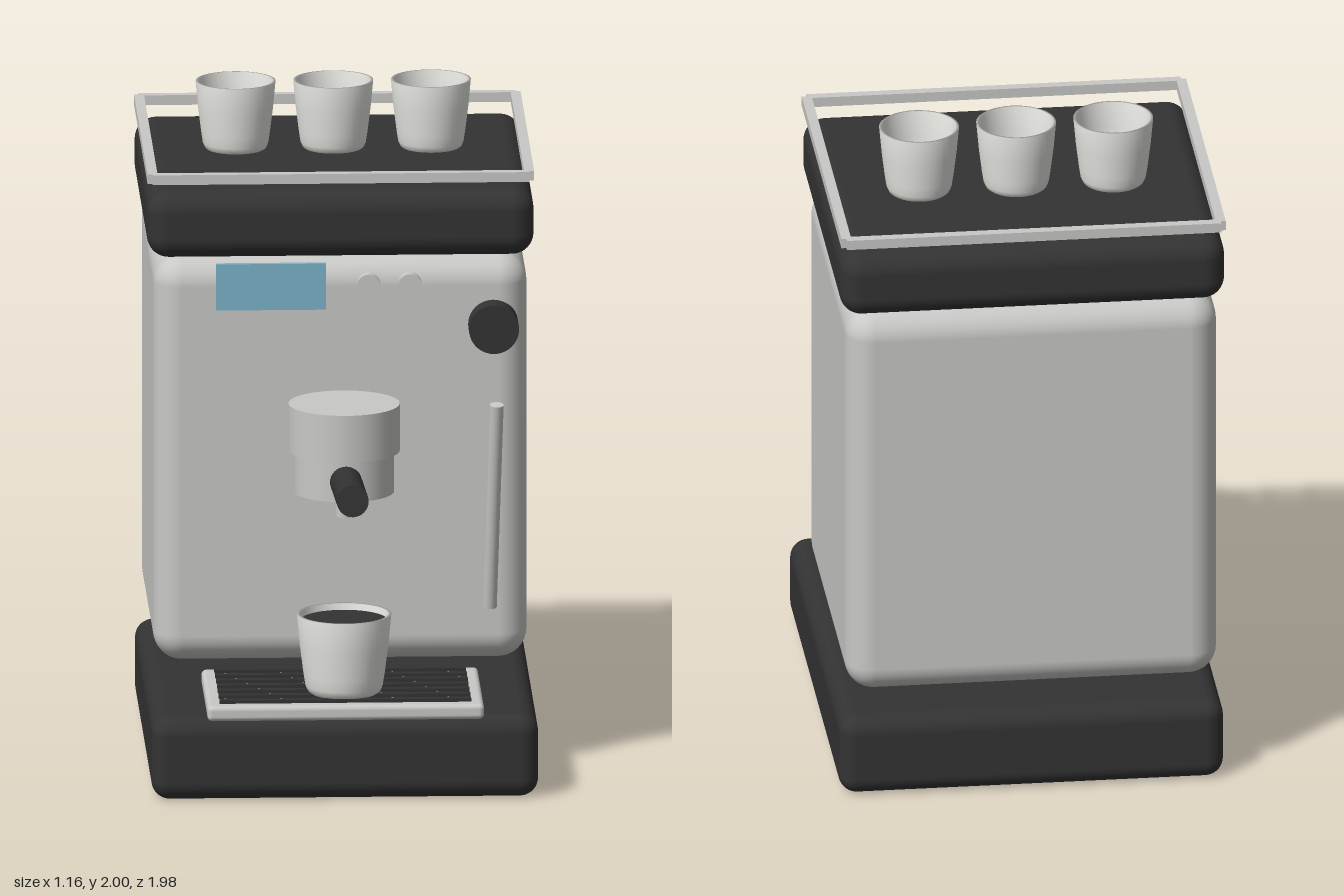
import * as THREE from 'three';
import { RoundedBoxGeometry } from 'three/addons/geometries/RoundedBoxGeometry.js';

export function createModel() {
  const model = new THREE.Group();
  model.name = 'espressoMachine';

  const material = (name, color, extra = {}) => {
    const m = new THREE.MeshStandardMaterial({ color, ...extra });
    m.name = name;
    return m;
  };
  const steel = material('steel', 0xc8c8c6);
  const black = material('blackPlastic', 0x333333);
  const china = material('china', 0xe6e6e2, { side: THREE.DoubleSide });
  const blue = material('displayBlue', 0x7ab3ca);

  const add = (name, geometry, mat, x = 0, y = 0, z = 0) => {
    const mesh = new THREE.Mesh(geometry, mat);
    mesh.name = name;
    mesh.position.set(x, y, z);
    model.add(mesh);
    return mesh;
  };

  // Rounded block given by its width and its y and z limits
  const block = (name, mat, w, y0, y1, z0, z1, r) =>
    add(name, new RoundedBoxGeometry(w, y1 - y0, z1 - z0, 5, r), mat, 0, (y0 + y1) / 2, (z0 + z1) / 2);

  // Cylinder running between two points
  const rod = (name, mat, from, to, r, sides = 32) => {
    const a = new THREE.Vector3(...from);
    const b = new THREE.Vector3(...to);
    const mesh = add(name, new THREE.CylinderGeometry(r, r, a.distanceTo(b), sides), mat);
    mesh.position.copy(a).add(b).multiplyScalar(0.5);
    mesh.quaternion.setFromUnitVectors(new THREE.Vector3(0, 1, 0), b.sub(a).normalize());
    return mesh;
  };

  // Open, thin-walled cup with a rounded foot
  const cup = (name, x, y, z, r, h) => {
    const profile = [
      [0, 0], [0.7, 0], [0.77, 0.03], [0.82, 0.1], [0.86, 0.25], [0.94, 0.62], [1, 1],
      [0.93, 1], [0.88, 0.62], [0.8, 0.25], [0.74, 0.12], [0.66, 0.07], [0, 0.07],
    ].map(([a, b]) => new THREE.Vector2(a * r, b * h));
    add(name, new THREE.LatheGeometry(profile, 40), china, x, y, z);
  };

  // Main housing
  block('base', black, 1.16, 0, 0.253, -0.945, 0.43, 0.055);
  block('body', steel, 1.12, 0.34, 1.585, -0.965, 0.073, 0.085);
  block('topCover', black, 1.16, 1.587, 1.792, -0.985, 0.092, 0.065);

  // Cup rail around the top
  for (const z of [0.075, -0.97])
    add('railCrossBar', new THREE.BoxGeometry(1.13, 0.03, 0.03), steel, 0, 1.836, z);
  for (const x of [-0.565, 0.565])
    add('railSideBar', new THREE.BoxGeometry(0.03, 0.03, 1.045), steel, x, 1.836, -0.4475);

  // Cups warming on top
  for (const x of [-0.293, 0, 0.293]) cup('warmingCup', x, 1.79, -0.51, 0.12, 0.21);

  // Drip tray with dark slots
  block('dripTray', steel, 0.83, 0.255, 0.302, -0.03, 0.47, 0.015);
  for (let i = 0; i < 7; i++)
    add('traySlot', new THREE.BoxGeometry(0.755, 0.01, 0.024), black, 0, 0.307, 0.02 + i * 0.0665);

  // Filled cup under the spout
  cup('servingCup', 0, 0.31, 0.325, 0.142, 0.242);
  add('coffee', new THREE.CylinderGeometry(0.129, 0.129, 0.006, 40), black, 0, 0.53, 0.325);

  // Brew head, spout and handle
  add('brewHead', new THREE.CylinderGeometry(0.167, 0.167, 0.145, 48), steel, 0, 1.128, 0.327);
  add('filterHolder', new THREE.CylinderGeometry(0.15, 0.15, 0.126, 48), steel, 0, 0.993, 0.327);
  add('spout', new THREE.CylinderGeometry(0.025, 0.025, 0.085, 24), steel, 0, 0.895, 0.327);
  rod('filterHandle', black, [0, 0.985, 0.42], [0, 1.053, 0.985], 0.048);

  // Front controls
  add('display', new THREE.BoxGeometry(0.33, 0.142, 0.016), blue, -0.21, 1.503, 0.078);
  for (const x of [0.083, 0.207]) rod('button', steel, [x, 1.505, 0.05], [x, 1.505, 0.096], 0.036);
  rod('steamKnob', black, [0.457, 1.38, 0.05], [0.457, 1.38, 0.147], 0.075, 40);
  rod('steamWand', steel, [0.463, 1.16, 0.195], [0.447, 0.51, 0.072], 0.021, 20);

  return model;
}
